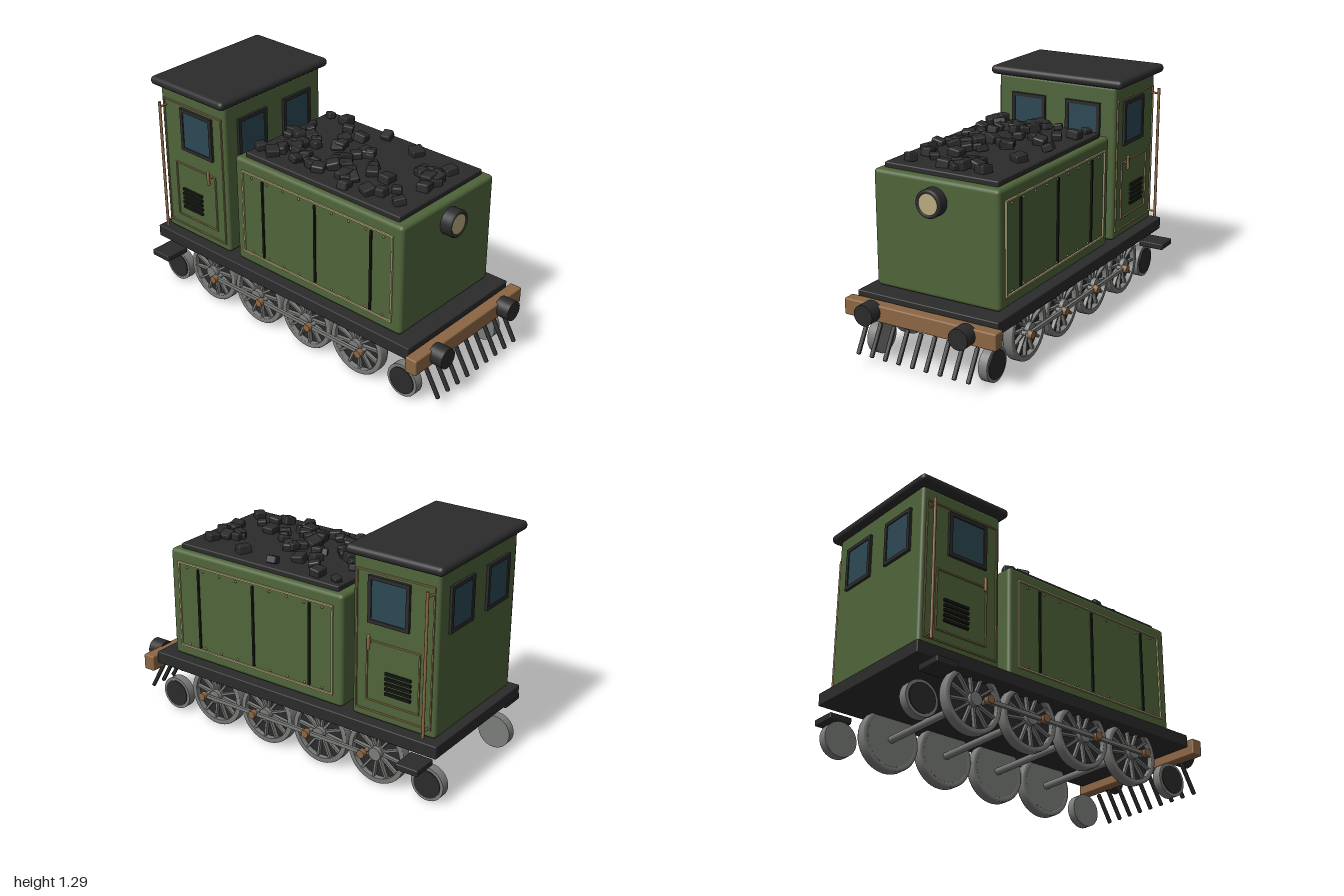
import * as THREE from 'three';
import { RoundedBoxGeometry } from 'three/addons/geometries/RoundedBoxGeometry.js';

const mat = (name, color) => Object.assign(new THREE.MeshStandardMaterial({ color }), { name });
const green = mat('green paint', 0x4f643a);
const dark = mat('dark iron', 0x2b2b2b);
const black = mat('black panel gaps', 0x161814);
const steel = mat('steel', 0x7b7d7a);
const copper = mat('copper', 0x8c6643);
const cream = mat('cream brass', 0xb9ab80);
const trim = mat('trim line', 0x8f7c58);
const glass = mat('window glass', 0x2c4854);

function add(parent, name, geometry, material, x = 0, y = 0, z = 0) {
  const m = new THREE.Mesh(geometry, material);
  m.name = name;
  m.position.set(x, y, z);
  parent.add(m);
  return m;
}

// Box given by its extents on each axis, optionally rounded
function span(parent, name, material, [x0, x1], [y0, y1], [z0, z1], r = 0) {
  const w = x1 - x0, h = y1 - y0, d = z1 - z0;
  const geo = r ? new RoundedBoxGeometry(w, h, d, 3, r) : new THREE.BoxGeometry(w, h, d);
  return add(parent, name, geo, material, (x0 + x1) / 2, (y0 + y1) / 2, (z0 + z1) / 2);
}

// Cylinder along z (or x)
function disc(parent, name, material, r, len, x, y, z, alongX = false, seg = 32) {
  const geo = new THREE.CylinderGeometry(r, r, len, seg);
  if (alongX) geo.rotateZ(Math.PI / 2); else geo.rotateX(Math.PI / 2);
  return add(parent, name, geo, material, x, y, z);
}

// Flat rectangular ring extruded along z, centred on the given depth
function ring(parent, name, material, w, h, t, depth, x, y, z) {
  const rect = (a, b, P) => new P().moveTo(-a, -b).lineTo(a, -b).lineTo(a, b).lineTo(-a, b).closePath();
  const shape = rect(w / 2, h / 2, THREE.Shape);
  shape.holes.push(rect(w / 2 - t, h / 2 - t, THREE.Path));
  const geo = new THREE.ExtrudeGeometry(shape, { depth, bevelEnabled: false });
  geo.translate(0, 0, -depth / 2);
  return add(parent, name, geo, material, x, y, z);
}

// Framed window facing +z, turned about y
function cabWindow(parent, w, h, x, y, z, turn) {
  const g = new THREE.Group();
  g.name = 'cabWindow';
  ring(g, 'windowFrame', dark, w, h, 0.02, 0.03, 0, 0, 0);
  add(g, 'windowPane', new THREE.BoxGeometry(w - 0.03, h - 0.03, 0.009), glass, 0, 0, 0.005);
  g.position.set(x, y, z);
  g.rotation.y = turn;
  parent.add(g);
}

// Spoked driving wheel on the side s
function drivingWheel(parent, x, s) {
  const g = new THREE.Group();
  g.name = 'drivingWheel';
  g.position.set(x, 0.175, 0);
  parent.add(g);
  const profile = [[0.145, 0.312], [0.17, 0.312], [0.172, 0.318], [0.172, 0.364], [0.168, 0.37], [0.148, 0.37], [0.145, 0.366], [0.145, 0.312]];
  const tyre = new THREE.LatheGeometry(profile.map(p => new THREE.Vector2(p[0], p[1] - 0.341)), 40);
  tyre.rotateX(Math.PI / 2);
  add(g, 'tyre', tyre, steel, 0, 0, s * 0.341);
  disc(g, 'wheelBack', steel, 0.147, 0.02, 0, 0, s * 0.323);
  disc(g, 'wheelWeb', dark, 0.147, 0.008, 0, 0, s * 0.337);
  disc(g, 'hub', steel, 0.036, 0.05, 0, 0, s * 0.36, false, 20);
  for (let i = 0; i < 12; i++) {
    const a = i * Math.PI / 6 + 0.13;
    const spoke = add(g, 'spoke', new THREE.BoxGeometry(0.125, 0.012, 0.02), steel, Math.cos(a) * 0.088, Math.sin(a) * 0.088, s * 0.352);
    spoke.rotation.z = a;
  }
  // Crank pin carrying the coupling rod
  disc(g, 'crankPin', steel, 0.012, 0.05, 0.058, 0, s * 0.385, false, 12);
  disc(g, 'crankCap', copper, 0.022, 0.03, 0.058, 0, s * 0.413, false, 16);
}

export function createModel() {
  const model = new THREE.Group();
  model.name = 'locomotive';

  // Main bodies
  span(model, 'deck', dark, [-0.985, 0.855], [0.29, 0.36], [-0.42, 0.42], 0.006);
  span(model, 'cab', green, [-0.945, -0.45], [0.365, 1.245], [-0.37, 0.37], 0.018);
  span(model, 'cabRoof', dark, [-0.98, -0.423], [1.24, 1.29], [-0.415, 0.415], 0.024);
  span(model, 'tender', green, [-0.385, 0.76], [0.365, 0.99], [-0.37, 0.37], 0.022);
  span(model, 'coalBed', dark, [-0.335, 0.71], [0.98, 1.018], [-0.335, 0.335], 0.008);

  // Loose coal
  let seed = 11;
  const rnd = () => (seed = (seed * 16807) % 2147483647) / 2147483647;
  for (let i = 0; i < 64; i++) {
    const size = 0.048 + rnd() * 0.026;
    const geo = new RoundedBoxGeometry(size, size * 0.7, size * (0.8 + rnd() * 0.3), 1, 0.008);
    const lump = add(model, 'coalLump', geo, dark, -0.3 + rnd() * 0.96, 1.028 + rnd() * 0.014, -0.285 + rnd() * 0.57);
    lump.rotation.set((rnd() - 0.5) * 0.5, rnd() * 6.28, (rnd() - 0.5) * 0.5);
  }

  // Cab end windows
  for (const z of [-0.172, 0.172]) {
    cabWindow(model, 0.215, 0.245, -0.45, 1.028, z, Math.PI / 2);
    cabWindow(model, 0.215, 0.245, -0.945, 1.028, z, -Math.PI / 2);
  }

  const wheelX = [-0.6, -0.243, 0.115, 0.47];
  for (const s of [1, -1]) {
    const z = s * 0.372;
    // Cab side
    ring(model, 'cabTrim', trim, 0.45, 0.76, 0.007, 0.012, -0.697, 0.79, z);
    ring(model, 'doorPanelTrim', trim, 0.315, 0.335, 0.007, 0.012, -0.693, 0.637, z);
    cabWindow(model, 0.24, 0.25, -0.665, 1.023, s * 0.37, s > 0 ? 0 : Math.PI);
    for (let i = 0; i < 5; i++)
      add(model, 'louver', new THREE.BoxGeometry(0.152, 0.015, 0.02), black, -0.726, 0.534 + i * 0.0275, z);
    add(model, 'handrail', new THREE.CylinderGeometry(0.008, 0.008, 0.775, 12), copper, -0.905, 0.772, s * 0.418);
    for (const y of [0.42, 1.13]) disc(model, 'handrailBracket', copper, 0.006, 0.055, -0.905, y, s * 0.392, false, 8);
    span(model, 'doorHandle', copper, [-0.573, -0.556], [0.76, 0.842], [s * 0.4 - 0.008, s * 0.4 + 0.008], 0.006);
    disc(model, 'handleStem', copper, 0.006, 0.03, -0.564, 0.8, s * 0.383, false, 8);

    // Tender side
    ring(model, 'tenderTrim', cream, 1.035, 0.5, 0.009, 0.014, 0.188, 0.677, z);
    for (const x of [-0.18, 0.19, 0.565])
      add(model, 'panelSeam', new THREE.BoxGeometry(0.012, 0.462, 0.014), black, x, 0.675, z);
    for (const y of [0.447, 0.9])
      for (let i = 0; i < 9; i++)
        add(model, 'rivet', new THREE.SphereGeometry(0.007, 8, 6), trim, -0.26 + i * 0.113, y, s * 0.371);

    // Running gear
    for (const x of wheelX) drivingWheel(model, x, s);
    add(model, 'couplingRod', new THREE.BoxGeometry(1.11, 0.02, 0.016), steel, -0.006, 0.175, s * 0.401);
    for (const x of [-0.905, 0.775]) {
      disc(model, 'smallWheel', steel, 0.094, 0.05, x, 0.098, s * 0.337);
      disc(model, 'smallWheelFace', dark, 0.077, 0.012, x, 0.098, s * 0.361);
    }
    const step = span(model, 'cabStep', dark, [-0.94, -0.81], [0.222, 0.257], [0.37, 0.517], 0.006);
    step.position.z *= s;

    // Buffers
    disc(model, 'buffer', dark, 0.056, 0.085, 0.9575, 0.297, s * 0.282, true);
  }
  for (const x of wheelX) disc(model, 'axle', steel, 0.02, 0.64, x, 0.175, 0, false, 16);

  // Front beam and track guard
  span(model, 'bufferBeam', copper, [0.86, 0.93], [0.245, 0.335], [-0.452, 0.452], 0.008);
  for (let i = -4; i <= 4; i++) {
    const bar = add(model, 'guardBar', new RoundedBoxGeometry(0.02, 0.182, 0.022, 2, 0.007), dark, 0.942, 0.15, i * 0.0825);
    bar.rotation.z = 0.52;
  }

  // Headlamp
  disc(model, 'headlampHousing', dark, 0.074, 0.06, 0.785, 0.878, 0, true);
  const rim = add(model, 'headlampRim', new THREE.TorusGeometry(0.064, 0.011, 10, 36), dark, 0.813, 0.878, 0);
  rim.rotation.y = Math.PI / 2;
  disc(model, 'headlampLens', cream, 0.055, 0.009, 0.816, 0.878, 0, true);

  return model;
}
